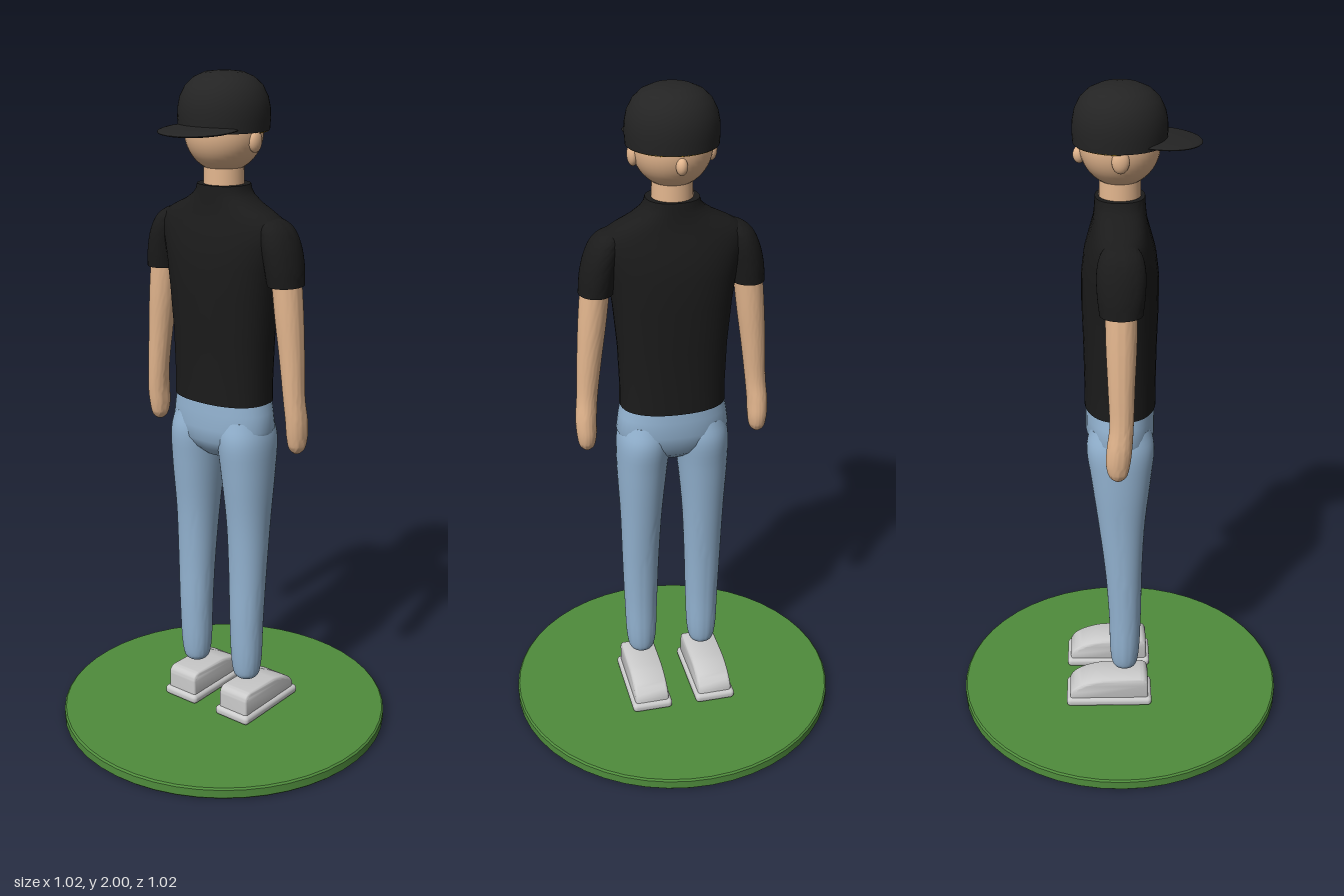
import * as THREE from 'three';
import { toCreasedNormals } from 'three/addons/utils/BufferGeometryUtils.js';
import { RoundedBoxGeometry } from 'three/addons/geometries/RoundedBoxGeometry.js';

const mat = (color) => new THREE.MeshStandardMaterial({ color, side: THREE.DoubleSide });

// Closed loft through elliptical sections [y, centreX, centreZ, radiusX, radiusZ], listed bottom to top
function loft(rows, power = 2, n = 40) {
  const first = rows[0], last = rows[rows.length - 1];
  const all = [[...first.slice(0, 3), 0, 0], ...rows, [...last.slice(0, 3), 0, 0]];
  const bend = (v) => Math.sign(v) * Math.abs(v) ** (2 / power);
  const pos = [], idx = [];
  for (const [y, cx, cz, rx, rz] of all)
    for (let i = 0; i < n; i++) {
      const a = (i / n) * Math.PI * 2;
      pos.push(cx + rx * bend(Math.cos(a)), y, cz + rz * bend(Math.sin(a)));
    }
  for (let j = 0; j < all.length - 1; j++)
    for (let i = 0; i < n; i++) {
      const k = (i + 1) % n, a = j * n + i, b = j * n + k, c = a + n, d = b + n;
      idx.push(a, c, b, b, c, d);
    }
  const g = new THREE.BufferGeometry();
  g.setAttribute('position', new THREE.Float32BufferAttribute(pos, 3));
  g.setIndex(idx);
  return toCreasedNormals(g, 0.9);
}

// Smooths sparse sections with a spline before lofting
function smoothLoft(rows, power, steps = 24) {
  const a = new THREE.CatmullRomCurve3(rows.map((r) => new THREE.Vector3(r[0], r[1], r[2])), false, 'centripetal');
  const b = new THREE.CatmullRomCurve3(rows.map((r) => new THREE.Vector3(r[0], r[3], r[4])), false, 'centripetal');
  const out = [];
  for (let i = 0; i <= steps; i++) {
    const p = a.getPoint(i / steps), q = b.getPoint(i / steps);
    out.push([q.x, p.y, p.z, q.y, q.z]);
  }
  return loft(out, power);
}

export function createModel() {
  const model = new THREE.Group();
  const figure = new THREE.Group();
  figure.name = 'figure';
  figure.rotation.y = Math.PI * 0.75;
  model.add(figure);

  const skin = mat(0xe3b68e), shirt = mat(0x1b1b1b), capCloth = mat(0x242424);
  const denim = mat(0x94b4d2), grey = mat(0xcccccc), gold = mat(0xd9a92c);

  const add = (name, geo, material, x = 0, y = 0, z = 0, parent = figure) => {
    const m = new THREE.Mesh(geo, material);
    m.name = name;
    m.position.set(x, y, z);
    parent.add(m);
    return m;
  };

  // Grass base
  const disc = [[0, 0], [0.505, 0], [0.51, 0.005], [0.51, 0.03], [0.505, 0.035], [0, 0.035]];
  add('base', toCreasedNormals(new THREE.LatheGeometry(disc.map((p) => new THREE.Vector2(...p)), 48), 0.6),
    mat(0x4f8c3c), 0, 0, 0, model);

  // Shirt body with collar
  add('shirtBody', loft([
    [1.06, 0, 0, 0.158, 0.106], [1.12, 0, 0, 0.157, 0.105], [1.25, 0, 0, 0.162, 0.107],
    [1.38, 0, 0, 0.174, 0.111], [1.47, 0, 0, 0.187, 0.110], [1.53, 0, 0, 0.203, 0.102],
    [1.575, 0, 0, 0.212, 0.089], [1.6, 0, 0, 0.2, 0.082], [1.62, 0, 0, 0.165, 0.077],
    [1.64, 0, 0, 0.122, 0.074], [1.66, 0, 0, 0.092, 0.072], [1.675, 0, 0, 0.08, 0.071],
    [1.69, 0, 0, 0.076, 0.07],
  ], 2.3), shirt);

  // Hips
  add('hips', loft([
    [0.885, 0, -0.005, 0.05, 0.05], [0.91, 0, -0.004, 0.11, 0.078], [0.94, 0, -0.003, 0.155, 0.096],
    [0.98, 0, 0, 0.17, 0.103], [1.03, 0, 0, 0.163, 0.102], [1.075, 0, 0, 0.154, 0.1],
  ], 2.2), denim);

  for (const s of [1, -1]) {
    const side = s > 0 ? 'left' : 'right';

    // Trouser leg
    add(side + 'Leg', smoothLoft([
      [0.152, s * 0.1, -0.013, 0.018, 0.018], [0.165, s * 0.1, -0.013, 0.036, 0.036],
      [0.2, s * 0.1, -0.013, 0.045, 0.044], [0.35, s * 0.1, -0.014, 0.052, 0.05],
      [0.5, s * 0.1, -0.01, 0.057, 0.056], [0.68, s * 0.098, -0.004, 0.064, 0.07],
      [0.85, s * 0.094, -0.002, 0.076, 0.09], [0.95, s * 0.088, 0, 0.081, 0.1],
      [1.01, s * 0.08, 0, 0.075, 0.088],
    ], 2.1, 36), denim);

    // Short sleeve
    add(side + 'Sleeve', smoothLoft([
      [1.425, s * 0.222, 0, 0.05, 0.06], [1.48, s * 0.215, 0, 0.052, 0.066],
      [1.54, s * 0.202, 0, 0.05, 0.067], [1.58, s * 0.188, 0, 0.043, 0.058],
      [1.6, s * 0.175, 0, 0.032, 0.042], [1.61, s * 0.165, 0, 0.014, 0.02],
    ], 2), shirt);

    // Bare arm ending in a mitten-like hand
    add(side + 'Arm', smoothLoft([
      [0.932, s * 0.262, 0.01, 0.01, 0.012], [0.945, s * 0.262, 0.01, 0.022, 0.025],
      [0.98, s * 0.262, 0.01, 0.029, 0.034], [1.03, s * 0.262, 0.006, 0.031, 0.036],
      [1.1, s * 0.256, 0, 0.031, 0.034], [1.22, s * 0.246, 0, 0.036, 0.038],
      [1.34, s * 0.234, 0, 0.041, 0.043], [1.48, s * 0.22, 0, 0.043, 0.045],
    ], 2, 30), skin);

    // Shoe: flat sole and an upper that drops towards the toe
    const shoe = new THREE.Group();
    shoe.name = side + 'Shoe';
    shoe.position.set(s * 0.103, 0, 0.037);
    figure.add(shoe);
    add('sole', new RoundedBoxGeometry(0.128, 0.03, 0.272, 3, 0.013), grey, 0, 0.05, 0, shoe);
    const profile = new THREE.Shape();
    profile.moveTo(-0.115, 0.055);
    profile.lineTo(-0.115, 0.108);
    profile.quadraticCurveTo(-0.115, 0.125, -0.098, 0.125);
    profile.lineTo(0.02, 0.122);
    profile.quadraticCurveTo(0.1, 0.108, 0.115, 0.075);
    profile.lineTo(0.115, 0.055);
    const upper = new THREE.ExtrudeGeometry(profile, {
      depth: 0.088, bevelSize: 0.01, bevelThickness: 0.01, bevelSegments: 4, curveSegments: 8,
    });
    upper.translate(0, 0, -0.044).rotateY(-Math.PI / 2);
    add('upper', toCreasedNormals(upper, 0.7), grey, 0, 0, 0, shoe);

    // Ear
    add(side + 'Ear', new THREE.SphereGeometry(1, 20, 14), skin, s * 0.11, 1.815, 0).scale.set(0.016, 0.032, 0.024);
  }

  // Neck, head and nose
  add('neck', new THREE.CylinderGeometry(0.057, 0.06, 0.12, 32), skin, 0, 1.7, 0);
  add('head', new THREE.SphereGeometry(1, 40, 28), skin, 0, 1.835, 0).scale.set(0.112, 0.115, 0.112);
  add('nose', new THREE.SphereGeometry(1, 20, 14), skin, 0, 1.805, 0.111).scale.set(0.016, 0.024, 0.018);

  // Cap crown, worn backwards
  const crown = [[0.117, 1.84], [0.129, 1.84], [0.131, 1.87], [0.13, 1.9], [0.124, 1.93],
    [0.109, 1.96], [0.086, 1.982], [0.055, 1.996], [0.02, 2], [0, 2]];
  add('capCrown', toCreasedNormals(new THREE.LatheGeometry(crown.map((p) => new THREE.Vector2(...p)), 48), 0.8), capCloth);

  // Cap peak pointing behind, drooping slightly
  const peak = add('capPeak', new THREE.SphereGeometry(1, 40, 16), capCloth, 0, 1.848, -0.112);
  peak.scale.set(0.114, 0.011, 0.114);
  peak.rotation.x = -0.06;

  // Gold strap across the forehead
  const strap = new THREE.TorusGeometry(0.122, 0.006, 8, 40, Math.PI);
  strap.rotateX(Math.PI / 2);
  add('capStrap', strap, gold, 0, 1.842, 0);

  return model;
}
